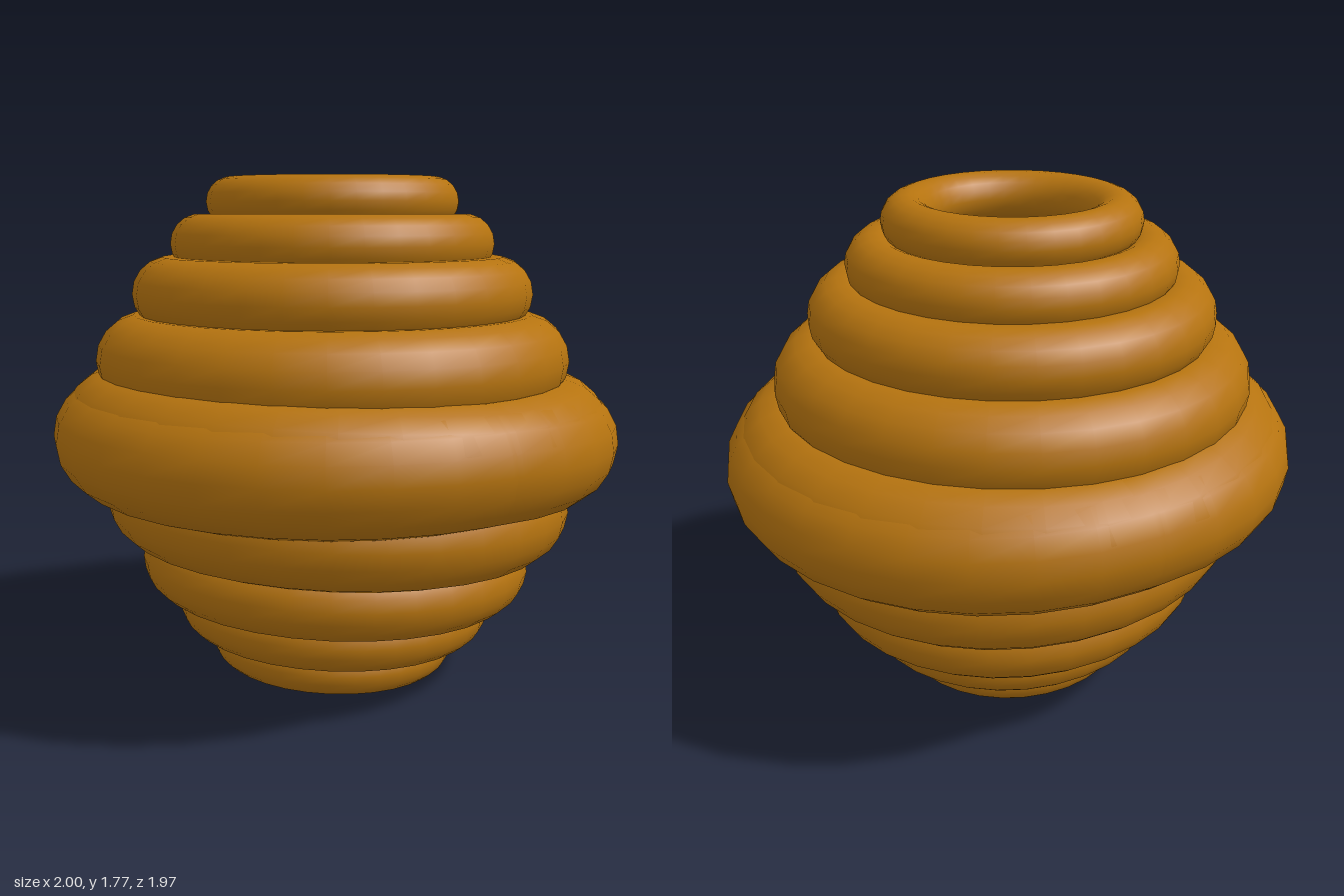
import * as THREE from 'three';

// Each ring: [ring radius, tube radius, height above the middle ring]
const RINGS = [
  [0.787, 0.196, 0],
  [0.67, 0.16, 0.255],
  [0.573, 0.127, 0.483],
  [0.463, 0.102, 0.653],
  [0.355, 0.085, 0.795],
];
const MIDDLE = 0.885;

export function createModel() {
  const model = new THREE.Group();
  model.name = 'stackedRings';
  const material = new THREE.MeshStandardMaterial({ color: 0xb5730f });

  // One half of the stack, shrinking away from the middle
  function half(name, direction) {
    const group = new THREE.Group();
    group.name = name;
    RINGS.forEach(([radius, tube, height], i) => {
      const geometry = new THREE.TorusGeometry(radius, tube, 18, 32);
      geometry.rotateX(Math.PI / 2);
      const ring = new THREE.Mesh(geometry, material);
      ring.name = `${name}Ring${i + 1}`;
      ring.position.y = height * direction;
      group.add(ring);
    });
    model.add(group);
    return group;
  }

  // Level upper half
  const upper = half('upperHalf', 1);
  upper.position.set(-0.017, MIDDLE, 0);

  // Lower half, leaning slightly to one side
  const lower = half('lowerHalf', -1);
  lower.position.set(0.017, MIDDLE, 0);
  lower.rotation.z = -0.046;

  return model;
}
